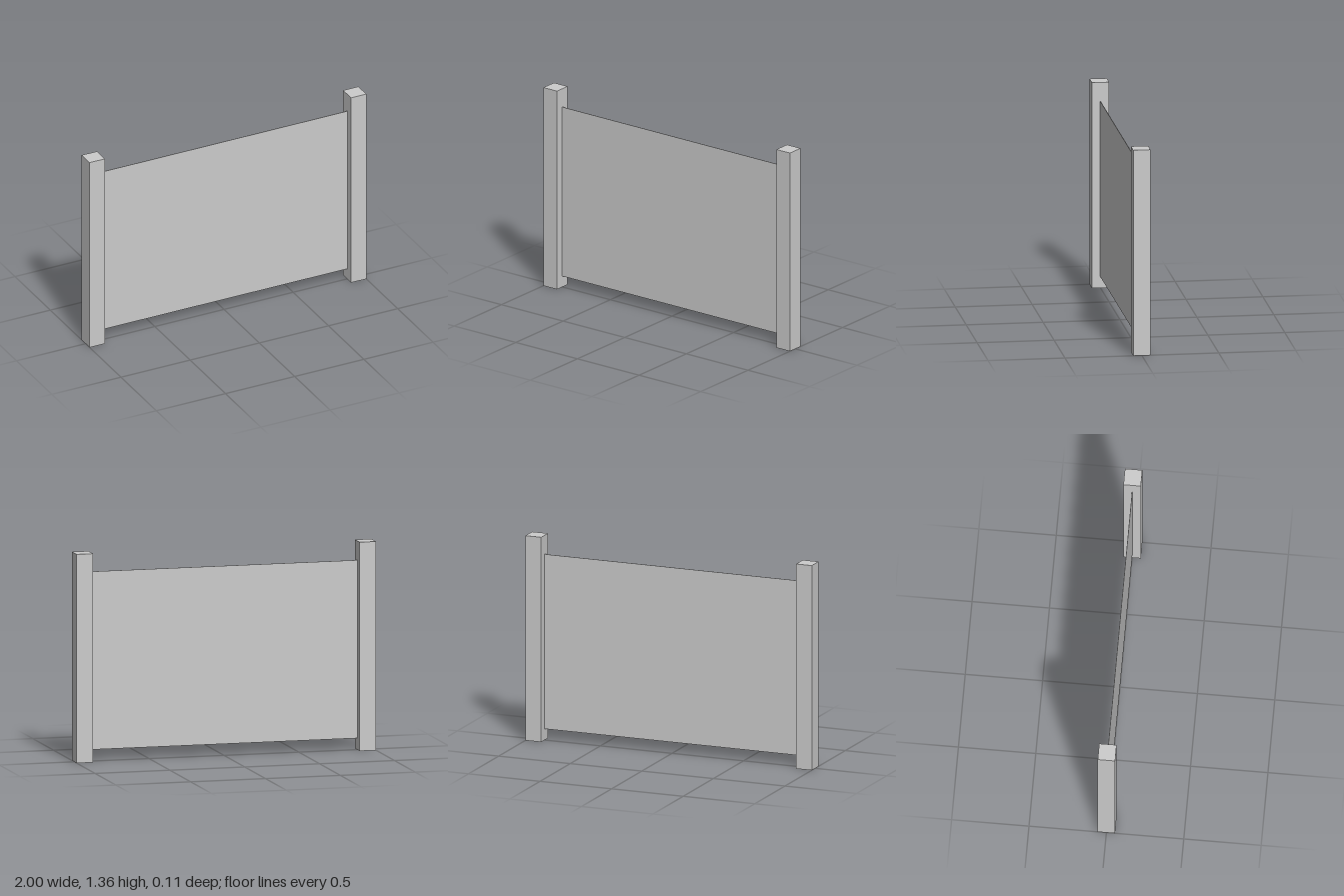
import * as THREE from 'three';

export function createModel() {
  const group = new THREE.Group();
  const material = new THREE.MeshStandardMaterial({ color: 0xcccccc, side: THREE.DoubleSide });
  const postWidth = 0.11, postHeight = 1.36;
  const panelBottom = 0.075, panelTop = 1.235;

  const addBox = (name, size, position) => {
    const mesh = new THREE.Mesh(new THREE.BoxGeometry(...size), material);
    mesh.name = name;
    mesh.position.set(...position);
    group.add(mesh);
  };

  // Square posts at both ends
  for (const [name, side] of [['leftPost', 1], ['rightPost', -1]]) {
    addBox(name, [postWidth, postHeight, 0.112], [side * (1 - postWidth / 2), postHeight / 2, 0]);
  }

  // Thin sheet spanning between the posts
  addBox('panel', [2 - 2 * postWidth, panelTop - panelBottom, 0.004], [0, (panelTop + panelBottom) / 2, 0]);

  return group;
}
